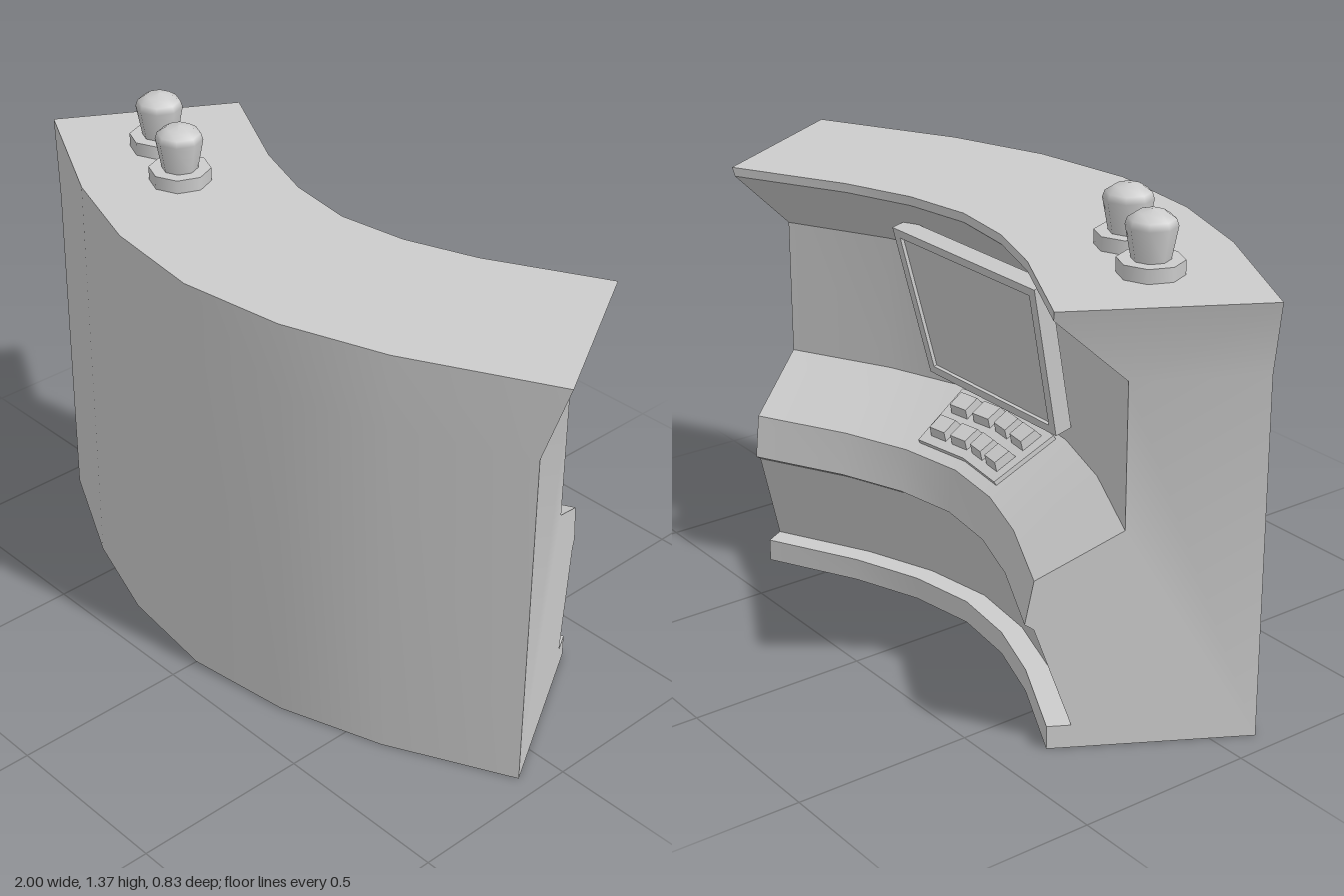
import * as THREE from 'three';
import { toCreasedNormals } from 'three/addons/utils/BufferGeometryUtils.js';

const material = new THREE.MeshStandardMaterial({ color: 0xcccccc });

// Ribs of the curved plan, from the middle to one end: front x, front z, rib angle
const RIBS = [[0, 0.415, 0], [0.31, 0.375, 0.2], [0.6, 0.277, 0.367], [0.94, 0.105, 0.5236]];
const FLARE = 0.068, FLARE_Y = 1.0, TOP_Y = 1.21;

function ribPoint(i, d, y) {
  const [x, z, a] = RIBS[Math.abs(i)];
  const flare = Math.abs(i) === 3 ? FLARE * Math.max(0, (y - FLARE_Y) / (TOP_Y - FLARE_Y)) : 0;
  const px = x - d * Math.sin(a) + flare * Math.cos(a);
  const pz = z - d * Math.cos(a) - flare * Math.sin(a);
  return new THREE.Vector3(i < 0 ? -px : px, y, pz);
}

// Point at t ribs along the curve, d behind the front, at height y
function curvePoint(t, d, y) {
  const i = Math.floor(t), f = t - i;
  const p = ribPoint(i, d, y);
  return f > 0 ? p.lerp(ribPoint(i + 1, d, y), f) : p;
}

// Sweep a counter-clockwise (depth, height) profile along the curve and cap both ends
function sweep(profile, ts, capParts = [profile.map((_, i) => i)]) {
  const pos = [];
  const rings = ts.map(t => profile.map(([d, y]) => curvePoint(t, d, y)));
  const tri = (...pts) => pts.forEach(p => pos.push(p.x, p.y, p.z));
  for (let r = 0; r < rings.length - 1; r++) {
    profile.forEach((_, i) => {
      const j = (i + 1) % profile.length, A = rings[r], B = rings[r + 1];
      tri(A[i], A[j], B[j]);
      tri(A[i], B[j], B[i]);
    });
  }
  const first = rings[0], last = rings[rings.length - 1];
  for (const part of capParts) {
    const contour = part.map(i => new THREE.Vector2(...profile[i]));
    for (const [a, b, c] of THREE.ShapeUtils.triangulateShape(contour, [])) {
      tri(last[part[a]], last[part[b]], last[part[c]]);
      tri(first[part[c]], first[part[b]], first[part[a]]);
    }
  }
  const geometry = new THREE.BufferGeometry();
  geometry.setAttribute('position', new THREE.Float32BufferAttribute(pos, 3));
  return toCreasedNormals(geometry, 0.5);
}

function add(parent, name, geometry, x = 0, y = 0, z = 0) {
  const mesh = new THREE.Mesh(geometry, material);
  mesh.name = name;
  mesh.position.set(x, y, z);
  parent.add(mesh);
  return mesh;
}

function group(parent, name) {
  const g = new THREE.Group();
  g.name = name;
  parent.add(g);
  return g;
}

// Point at depth d, raised h square to the sloping shelf
const onShelf = (d, h) => [d + 0.486 * h, 0.605 - (d - 0.352) * 0.556 + 0.874 * h];

// Symmetric trapezoid standing on y = y0
const trapezoid = (bottom, top, y0, y1) => [[-bottom, y0], [bottom, y0], [top, y1], [-top, y1]]
  .map(p => new THREE.Vector2(...p));

export function createModel() {
  const model = new THREE.Group();
  model.name = 'curvedConsole';

  // Curved desk: foot, knee recess, lip, shelf, back wall, overhang, top, front
  const desk = [
    [0, 0], [0.543, 0], [0.543, 0.065], [0.48, 0.065], [0.577, 0.345], [0.6, 0.36], [0.577, 0.48],
    [0.352, 0.605], [0.352, FLARE_Y], [0.543, 1.185], [0.543, TOP_Y], [0, TOP_Y], [0, FLARE_Y],
  ];
  add(model, 'desk', sweep(desk, [-3, -2, -1, 0, 1, 2, 3],
    [[0, 1, 2, 3, 4, 5, 6, 7, 8, 12], [8, 9, 10, 11, 12]]));

  // Keypad following the shelf, with two rows of four keys
  const keypad = group(model, 'keypad');
  add(keypad, 'keypadBase', sweep(
    [onShelf(0.365, -0.005), onShelf(0.365, 0.014), onShelf(0.545, 0.014), onShelf(0.545, -0.005)].reverse(),
    [-0.88, 0, 0.88]));
  for (const d of [0.382, 0.462]) {
    const key = [onShelf(d + 0.06, 0.01), onShelf(d + 0.052, 0.042), onShelf(d + 0.008, 0.042), onShelf(d, 0.01)];
    for (const t of [-0.6, -0.2, 0.2, 0.6]) add(keypad, 'key', sweep(key, [t - 0.14, t + 0.14]));
  }

  // Tilted screen with a shallow recessed panel, held by a bracket on the wall
  const screen = group(model, 'screen');
  screen.position.set(0, 0.65, -0.04);
  screen.rotation.x = -0.223;
  const frame = new THREE.Shape(trapezoid(0.287, 0.318, 0, 0.451));
  frame.holes.push(new THREE.Path(trapezoid(0.262, 0.289, 0.025, 0.426).reverse()));
  add(screen, 'screenFrame', new THREE.ExtrudeGeometry(frame, { depth: 0.01, bevelEnabled: false }));
  add(screen, 'screenBody', new THREE.ExtrudeGeometry(
    new THREE.Shape(trapezoid(0.287, 0.318, 0, 0.451)), { depth: 0.042, bevelEnabled: false }), 0, 0, 0.01);
  add(model, 'screenBracket', new THREE.BoxGeometry(0.12, 0.1, 0.12), 0, 0.82, 0.015);

  // Two knobs on top
  const knobProfile = [[0.05, 0], [0.066, 0.085], [0.06, 0.103], [0.036, 0.119], [0, 0.125]]
    .map(p => new THREE.Vector2(...p));
  for (const [x, z] of [[-0.653, -0.043], [-0.454, 0.05]]) {
    const knob = group(model, 'knob');
    knob.position.set(x, TOP_Y, z);
    add(knob, 'knobBase', new THREE.CylinderGeometry(0.086, 0.086, 0.038, 8), 0, 0.019, 0);
    add(knob, 'knobHandle', new THREE.LatheGeometry(knobProfile, 8), 0, 0.038, 0);
  }
  return model;
}
